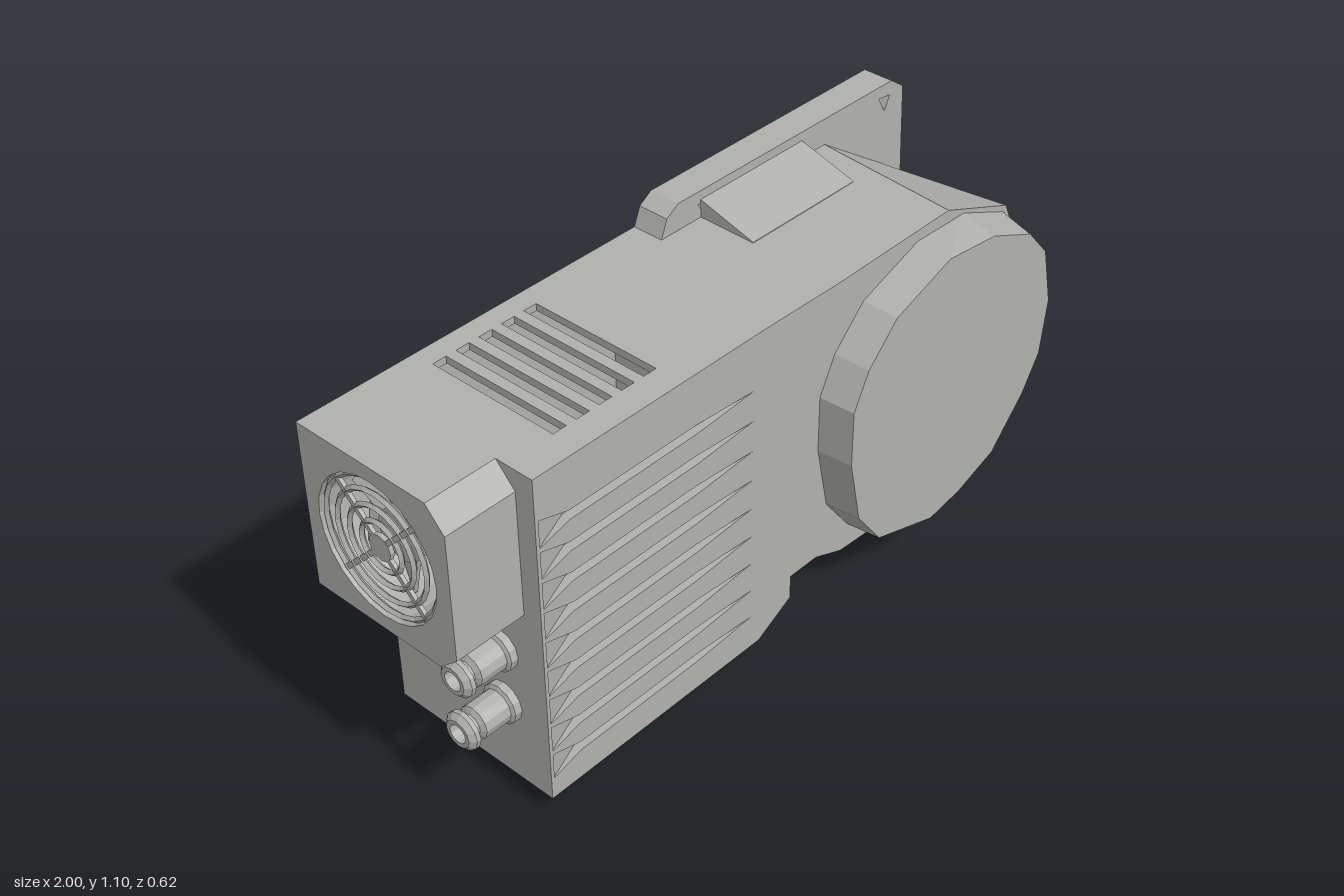
import * as THREE from 'three';

const grey = new THREE.MeshStandardMaterial({ color: 0xb0b0ad, flatShading: true, side: THREE.DoubleSide });
grey.name = 'cast grey';

const V = (p) => p.map(([x, y]) => new THREE.Vector2(x, y));
const rect = (x0, y0, x1, y1) => [[x0, y0], [x1, y0], [x1, y1], [x0, y1]];

export function createModel() {
  const root = new THREE.Group();
  const add = (name, geo, x = 0, y = 0, z = 0, parent = root) => {
    const m = new THREE.Mesh(geo, grey);
    m.name = name;
    m.position.set(x, y, z);
    parent.add(m);
    return m;
  };
  // Flat sheet with cut-outs, given as point lists
  const sheet = (outline, depth, holes = []) => {
    const s = new THREE.Shape(V(outline));
    holes.forEach((h) => s.holes.push(new THREE.Path(V(h))));
    return new THREE.ExtrudeGeometry(s, { depth, bevelEnabled: false });
  };
  // Solid between two counter-clockwise outlines of equal length
  const loft = (back, zb, front, zf) => {
    const pos = [];
    const tri = (...pts) => pts.forEach((p) => pos.push(...p));
    const at = (p, z) => [p[0], p[1], z];
    front.forEach((f, i) => {
      const j = (i + 1) % front.length;
      const a = at(back[i], zb), b = at(back[j], zb), c = at(front[j], zf), d = at(f, zf);
      tri(a, b, c, a, c, d);
    });
    for (const [a, b, c] of THREE.ShapeUtils.triangulateShape(V(front), []))
      tri(at(front[a], zf), at(front[b], zf), at(front[c], zf));
    for (const [a, b, c] of THREE.ShapeUtils.triangulateShape(V(back), []))
      tri(at(back[a], zb), at(back[c], zb), at(back[b], zb));
    const g = new THREE.BufferGeometry();
    g.setAttribute('position', new THREE.Float32BufferAttribute(pos, 3));
    g.computeVertexNormals();
    return g;
  };

  // Mounting plate with its raised flange and triangular screw holes
  const plate = (x) => [[x, 0.065], [0.92, 0.07], [0.98, 0.13], [1, 0.55], [0.98, 1.06], [0.93, 1.095],
    [0.11, 1.095], [0.07, 1.07], [0.05, 1.02], [x, 1.02]];
  const holes = [[0.2, 1.04], [0.55, 1.04], [0.9, 1.04], [0.2, 0.125], [0.55, 0.125], [0.9, 0.11]]
    .map(([x, y]) => [[x - 0.02, y + 0.02], [x + 0.005, y - 0.025], [x + 0.025, y + 0.015]]);
  add('backPlate', sheet(plate(-0.8), 0.04, holes), 0, 0, -0.31);
  add('mountingFlange', sheet(plate(-0.07), 0.05, holes), 0, 0, -0.27);

  // Rounded motor end of the housing
  const motorFront = [[-0.07, 0.065], [0.05, 0.13], [0.05, 0.2], [0.15, 0.2], [0.25, 0.16], [0.5, 0.145], [0.7, 0.15],
    [0.88, 0.26], [0.985, 0.48], [0.98, 0.68], [0.87, 0.92], [0.62, 1.02], [0.2, 1.015], [-0.07, 1.02]];
  const motorBack = [[-0.07, 0.065], [0.05, 0.13], [0.05, 0.155], [0.15, 0.155], [0.25, 0.15], [0.5, 0.145], [0.72, 0.155],
    [0.9, 0.29], [0.99, 0.57], [0.97, 0.72], [0.9, 0.86], [0.66, 1.02], [0.2, 1.02], [-0.07, 1.02]];
  add('motorHousing', loft(motorBack, -0.22, motorFront, 0.21));

  // Web joining the housing top to the flange
  const web = sheet([[0.05, 1], [0.05, 1.02], [0.22, 1.07], [0.22, 1]], 0.38);
  web.rotateY(Math.PI / 2);
  add('flangeWeb', web, 0.19, 0, 0);

  // Faceted round cover
  const disc = [[0.15, 0.71], [0.15, 0.55], [0.19, 0.36], [0.28, 0.24], [0.5, 0.17], [0.62, 0.19], [0.76, 0.24], [0.88, 0.37],
    [0.94, 0.47], [0.96, 0.63], [0.92, 0.8], [0.84, 0.89], [0.68, 0.96], [0.5, 0.98], [0.3, 0.91], [0.2, 0.81]];
  const base = disc.map(([x, y]) => {
    const k = x > 0.55 ? 1.06 : 1.02;
    return [Math.min(0.985, 0.555 + (x - 0.555) * k), 0.59 + (y - 0.59) * k];
  });
  add('roundCover', loft(base, 0.205, disc, 0.31));

  // Front panel with nine tapered louvres
  const rows = Array.from({ length: 9 }, (_, i) => 0.165 + i * 0.0875);
  const slots = rows.map((y) => [[-0.79, y - 0.038], [-0.7, y - 0.013], [-0.3, y - 0.013], [-0.1, y],
    [-0.3, y + 0.013], [-0.7, y + 0.013], [-0.79, y + 0.038]]);
  add('louvrePanel', sheet(rect(-0.8, 0.065, -0.07, 1.02), 0.025, slots), 0, 0, 0.185);
  const ramps = [];
  for (const y of rows) {
    const a = [-0.79, y - 0.038, 0.208], b = [-0.7, y - 0.013, 0.186], c = [-0.7, y + 0.013, 0.186], d = [-0.79, y + 0.038, 0.208];
    const e = [-0.3, y - 0.013, 0.186], f = [-0.1, y, 0.209], g = [-0.3, y + 0.013, 0.186];
    ramps.push(...a, ...b, ...c, ...a, ...c, ...d, ...e, ...f, ...g);
  }
  const rampGeo = new THREE.BufferGeometry();
  rampGeo.setAttribute('position', new THREE.Float32BufferAttribute(ramps, 3));
  rampGeo.computeVertexNormals();
  add('louvreRamps', rampGeo);

  // Top panel with vents, bottom panel with a recess, and the end wall
  const slab = (name, y, cut) => {
    const g = sheet(rect(-0.8, -0.185, -0.07, 0.27), 0.02, cut);
    g.rotateX(-Math.PI / 2);
    add(name, g, 0, y, 0);
  };
  const vents = [-0.64, -0.57, -0.5, -0.43, -0.36].map((x) => rect(x - 0.02, -0.13, x + 0.02, 0.25));
  slab('ventedTop', 1, vents);
  slab('bottomPanel', 0.065, [rect(-0.45, -0.07, -0.1, 0.15)]);
  add('endWall', new THREE.BoxGeometry(0.01, 0.915, 0.455), -0.795, 0.5425, -0.0425);

  // Recessed terminal panel on the underside
  add('terminalFloor', new THREE.BoxGeometry(0.37, 0.01, 0.24), -0.275, 0.09, -0.04);
  for (let i = 0; i < 6; i++)
    for (const z of [-0.09, 0.02])
      add('terminal', new THREE.BoxGeometry(0.03, 0.012, 0.04), -0.41 + i * 0.054, 0.08, z);

  // Fan box with chamfered front edges and a round opening
  const box = new THREE.Shape(V([[-0.31, 0.56], [0.1, 0.56], [0.155, 0.61], [0.155, 0.96], [0.1, 1.02], [-0.31, 1.02]]));
  box.holes.push(new THREE.Path().absarc(-0.08, 0.79, 0.19, 0, Math.PI * 2, true));
  const boxGeo = new THREE.ExtrudeGeometry(box, { depth: 0.2, bevelEnabled: false, curveSegments: 12 });
  boxGeo.rotateY(-Math.PI / 2);
  add('fanBox', boxGeo, -0.8, 0, 0);

  // Fan guard and rotor
  const fan = new THREE.Group();
  fan.name = 'fan';
  fan.position.set(-0.985, 0.79, -0.08);
  fan.rotation.y = -Math.PI / 2;
  root.add(fan);
  for (const r of [0.065, 0.105, 0.145, 0.182])
    add('guardRing', new THREE.TorusGeometry(r, 0.008, 4, 24), 0, 0, 0, fan);
  const hub = add('guardHub', new THREE.CylinderGeometry(0.035, 0.035, 0.012, 12), 0, 0, 0, fan);
  hub.rotation.x = Math.PI / 2;
  for (let i = 0; i < 4; i++) {
    const spoke = add('guardSpoke', new THREE.BoxGeometry(0.16, 0.014, 0.01), 0, 0, 0, fan);
    const a = Math.PI / 4 + i * Math.PI / 2;
    spoke.position.set(Math.cos(a) * 0.11, Math.sin(a) * 0.11, 0);
    spoke.rotation.z = a;
  }
  const rotor = add('rotorHub', new THREE.CylinderGeometry(0.07, 0.07, 0.1, 12), 0, 0, -0.1, fan);
  rotor.rotation.x = Math.PI / 2;
  for (let i = 0; i < 7; i++) {
    const a = i * Math.PI * 2 / 7;
    const blade = add('rotorBlade', new THREE.BoxGeometry(0.12, 0.09, 0.01), Math.cos(a) * 0.12, Math.sin(a) * 0.12, -0.1, fan);
    blade.rotation.set(0.5, 0, a, 'ZXY');
  }

  // Turned connectors: profiles of radius and distance from the wall
  const lathe = (profile, n) => new THREE.LatheGeometry(V(profile), n);
  for (const y of [0.46, 0.295]) {
    const gland = lathe([[0.055, -0.01], [0.055, 0.02], [0.045, 0.025], [0.045, 0.1], [0.03, 0.108], [0.03, 0.118],
      [0.052, 0.125], [0.052, 0.137], [0.038, 0.15], [0.026, 0.15], [0.026, 0.06], [0, 0.06]], 12);
    add('cableGland', gland, -0.8, y, 0.07).rotation.z = Math.PI / 2;
  }
  const thread = [[0.078, -0.01], [0.078, 0.012], [0.06, 0.018]];
  for (let i = 0; i < 4; i++) thread.push([0.068, 0.023 + i * 0.01], [0.06, 0.028 + i * 0.01]);
  thread.push([0.06, 0.065], [0.05, 0.065], [0.05, 0.03], [0, 0.03]);
  add('threadedSocket', lathe(thread, 16), -0.69, 0.065, 0.085).rotation.x = Math.PI;
  add('roundPlug', lathe([[0.06, -0.01], [0.06, 0.008], [0.045, 0.014], [0, 0.014]], 14), -0.52, 0.065, 0.095).rotation.x = Math.PI;
  for (let i = 0; i < 4; i++) {
    const a = i * Math.PI / 2 + 0.4;
    add('socketPin', new THREE.CylinderGeometry(0.007, 0.007, 0.03, 6), -0.69 + Math.cos(a) * 0.025, 0.025, 0.085 + Math.sin(a) * 0.025);
  }
  return root;
}
